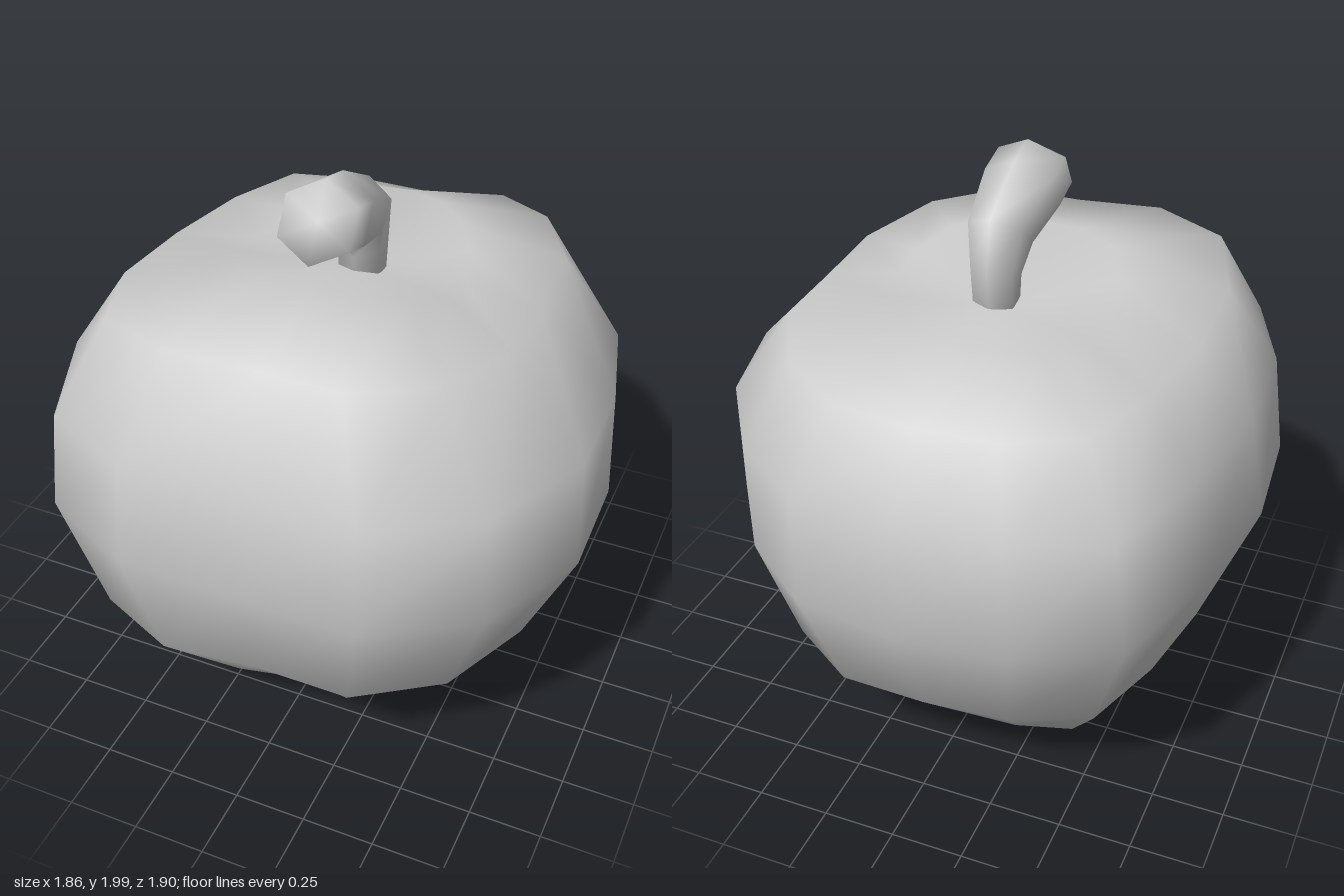
import * as THREE from 'three';

// Smooth skin over rings of points, closed at both ends by a single point
function loft(start, rings, end) {
  const n = rings[0].length;
  const points = [start, ...rings.flat(), end];
  const last = points.length - 1;
  const index = [];
  for (let j = 0; j < n; j++) {
    const k = (j + 1) % n;
    index.push(0, 1 + j, 1 + k);
    for (let i = 0; i < rings.length - 1; i++) {
      const a = 1 + i * n, b = a + n;
      index.push(a + j, b + j, a + k, a + k, b + j, b + k);
    }
    index.push(last, last - n + k, last - n + j);
  }
  const geometry = new THREE.BufferGeometry();
  geometry.setAttribute('position', new THREE.Float32BufferAttribute(points.flat(), 3));
  geometry.setIndex(index);
  geometry.computeVertexNormals();
  return geometry;
}

// Rounded-square outline of the widest ring, as x, z
const OUTLINE = [
  [-0.71, -0.81], [-0.38, -0.93], [0, -0.95], [0.35, -0.9], [0.61, -0.71], [0.81, -0.42],
  [0.92, -0.05], [0.93, 0.34], [0.75, 0.72], [0.41, 0.94], [0, 0.94], [-0.4, 0.94],
  [-0.73, 0.79], [-0.89, 0.41], [-0.93, -0.03], [-0.85, -0.45],
];

// One ring: sides are [reach, height] toward +x, +z, -x, -z;
// swell and lift adjust the corners +x+z, -x+z, -x-z, +x-z
function bodyRing({ sides: [px, pz, nx, nz], swell = [0, 0, 0, 0], lift = [0, 0, 0, 0] }) {
  return OUTLINE.map(([ox, oz]) => {
    const u = ox / 0.93, v = oz / 0.95, d = u * u + v * v;
    const sideX = u > 0 ? px : nx, sideZ = v > 0 ? pz : nz;
    const corner = v > 0 ? (u > 0 ? 0 : 1) : (u > 0 ? 3 : 2);
    const weight = (2 * Math.abs(u * v)) / d;
    const s = 1 + swell[corner] * weight;
    const y = (sideX[1] * u * u + sideZ[1] * v * v) / d + lift[corner] * weight;
    return [u * sideX[0] * s, y, v * sideZ[0] * s];
  });
}

// Six-sided stem section between an outer and an inner point of the bend
function stemRing([zo, yo, zi, yi, halfWidth]) {
  return Array.from({ length: 6 }, (_, i) => {
    const t = (i * Math.PI) / 3, c = Math.cos(t) / 2;
    return [
      0.02 + Math.sin(t) * halfWidth,
      (yo + yi) / 2 + c * (yo - yi),
      (zo + zi) / 2 + c * (zo - zi),
    ];
  });
}

export function createModel() {
  const group = new THREE.Group();
  group.name = 'apple';
  const material = new THREE.MeshStandardMaterial({ color: 0xcccccc });
  const add = (name, geometry) => {
    const mesh = new THREE.Mesh(geometry, material);
    mesh.name = name;
    group.add(mesh);
  };

  // Fruit body, from the hollow between the feet to the dip at the stem
  const body = [
    { sides: [[0.2, 0.1], [0.27, 0.05], [0.3, 0.09], [0.23, 0.08]], lift: [-0.065, -0.04, -0.02, 0] },
    {
      sides: [[0.39, 0.1], [0.47, 0.06], [0.54, 0.09], [0.45, 0.09]],
      swell: [0, 0.08, 0, 0.06], lift: [-0.05, -0.045, 0, 0.03],
    },
    { sides: [[0.75, 0.44], [0.82, 0.45], [0.74, 0.44], [0.73, 0.37]], swell: [0, 0.06, 0, 0.08] },
    { sides: [[0.93, 0.86], [0.96, 0.89], [0.93, 0.93], [0.95, 0.82]] },
    { sides: [[0.91, 1.25], [0.92, 1.25], [0.87, 1.28], [0.92, 1.21]], swell: [0, 0.02, 0, 0.03] },
    {
      sides: [[0.64, 1.52], [0.73, 1.6], [0.68, 1.51], [0.74, 1.46]],
      swell: [0, 0.05, 0, 0.12], lift: [0.02, 0.03, 0, 0.04],
    },
    { sides: [[0.38, 1.57], [0.34, 1.67], [0.36, 1.57], [0.46, 1.61]], lift: [0.02, 0.03, 0, 0] },
  ].map(bodyRing);
  add('fruitBody', loft([-0.02, 0.12, 0], body, [0.01, 1.53, -0.05]));

  // Bent stem, widening toward its cut end
  const stem = [
    [-0.09, 1.5, 0.04, 1.5, 0.08],
    [-0.11, 1.67, 0.05, 1.62, 0.085],
    [-0.08, 1.85, 0.1, 1.69, 0.11],
    [0.13, 1.97, 0.28, 1.73, 0.138],
    [0.25, 2.0, 0.39, 1.77, 0.138],
  ].map(stemRing);
  add('stem', loft([0.02, 1.5, -0.03], stem, [0.02, 1.885, 0.32]));

  return group;
}
